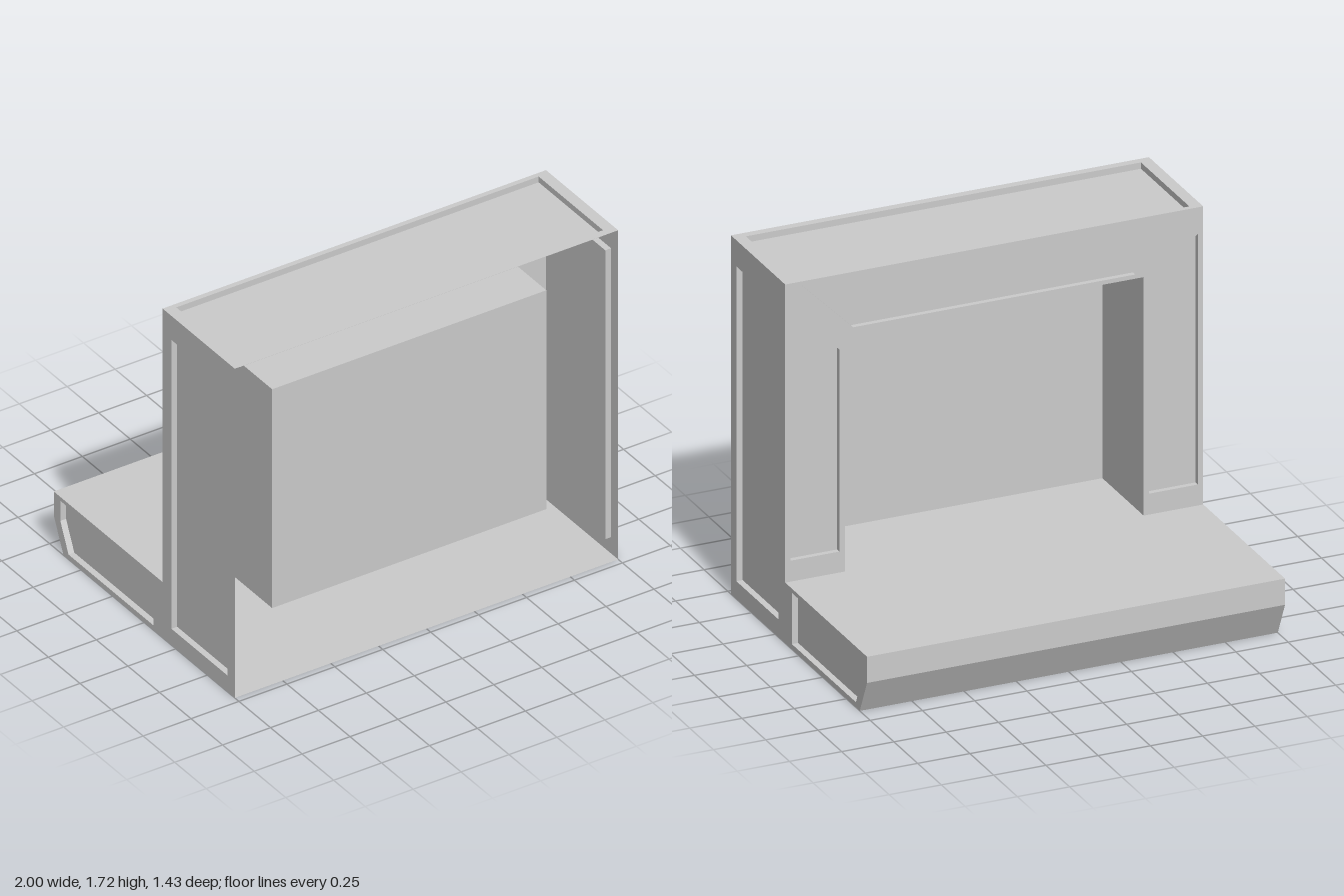
import * as THREE from 'three';

const material = new THREE.MeshStandardMaterial({ color: 0xcccccc, side: THREE.DoubleSide, flatShading: true });

// Outer dimensions
const H = 1.715, D = 0.717, FACE = 0.145, HEARTH = 0.29;

const points = (loop) => loop.map(([x, y]) => new THREE.Vector2(x, y));
const rect = (x0, y0, x1, y1) => [[x0, y0], [x1, y0], [x1, y1], [x0, y1]];
const mirror = (loop) => loop.map(([x, y]) => [-x, y]).reverse();

function add(parent, name, geometry) {
  const mesh = new THREE.Mesh(geometry, material);
  mesh.name = name;
  parent.add(mesh);
  return mesh;
}

// Flat quads, each given as four corners
function quads(list) {
  const position = list.flatMap(([a, b, c, d]) => [a, b, c, a, c, d]).flat();
  const geometry = new THREE.BufferGeometry();
  geometry.setAttribute('position', new THREE.Float32BufferAttribute(position, 3));
  geometry.computeVertexNormals();
  return geometry;
}

// Sunken pocket: walls going back from a counter-clockwise loop, and a floor
function addRecess(parent, name, loop, depth) {
  const walls = loop.map(([x, y], i) => {
    const [u, v] = loop[(i + 1) % loop.length];
    return [[x, y, 0], [u, v, 0], [u, v, -depth], [x, y, -depth]];
  });
  add(parent, name + 'Walls', quads(walls));
  add(parent, name + 'Panel', new THREE.ShapeGeometry(new THREE.Shape(points(loop)))).position.z = -depth;
}

// Flat face (facing local +z) with sunken panels cut into it
function plate(name, outline, recesses) {
  const group = new THREE.Group();
  group.name = name;
  const shape = new THREE.Shape(points(outline));
  for (const { name: part, loop, depth } of recesses) {
    shape.holes.push(new THREE.Path(points(loop)));
    addRecess(group, part, loop, depth);
  }
  add(group, name + 'Frame', new THREE.ShapeGeometry(shape));
  return group;
}

export function createModel() {
  const model = new THREE.Group();
  model.name = 'fireplace';

  // L-shaped sides, each with a tall panel and a hearth panel
  const sideOutline = [[-D, 0], [0.64, 0], [D, 0.165], [D, HEARTH], [-FACE, HEARTH], [-FACE, H], [-D, H]];
  const tallPanel = rect(-0.66, 0.085, -0.215, 1.59);
  const hearthPanel = [[-0.075, 0.025], [0.6, 0.025], [0.665, 0.165], [0.665, 0.27], [-0.075, 0.27]];
  for (const s of [1, -1]) {
    const fit = (loop) => (s > 0 ? loop : mirror(loop));
    const side = plate(s > 0 ? 'leftSide' : 'rightSide', fit(sideOutline), [
      { name: 'tall', loop: fit(tallPanel), depth: 0.03 },
      { name: 'hearthEnd', loop: fit(hearthPanel), depth: 0.03 },
    ]);
    side.rotation.y = s * Math.PI / 2;
    side.position.x = s;
    model.add(side);
  }

  // Mantel top
  const top = plate('mantelTop', rect(-1, -D, 1, -FACE), [
    { name: 'top', loop: rect(-0.945, -0.68, 0.945, -0.17), depth: 0.03 },
  ]);
  top.rotation.x = -Math.PI / 2;
  top.position.y = H;
  model.add(top);

  // Surround with mitred panels around the opening
  const W = 0.715, T = 1.43;
  const column = [[0.74, 0.39], [0.975, 0.39], [0.975, 1.59], [0.74, 1.355]];
  const lintel = [[-0.675, 1.45], [0.675, 1.45], [0.92, 1.695], [-0.92, 1.695]];
  const surround = plate('surround',
    [[-1, HEARTH], [-W, HEARTH], [-W, T], [W, T], [W, HEARTH], [1, HEARTH], [1, H], [-1, H]], [
      { name: 'columnA', loop: column, depth: 0.025 },
      { name: 'columnB', loop: mirror(column), depth: 0.025 },
      { name: 'lintel', loop: lintel, depth: 0.025 },
    ]);
  addRecess(surround, 'firebox', rect(-W, HEARTH, W, T), 0.435);
  surround.rotation.y = Math.PI;
  surround.position.z = FACE;
  model.add(surround);

  // Hearth slab skin: top, front edge, bevel and underside (y, z profile)
  const profile = [[HEARTH, FACE], [HEARTH, -D], [0.165, -D], [0, -0.64], [0, D]];
  const strips = profile.slice(1).map(([y, z], i) => {
    const [y0, z0] = profile[i];
    return [[-1, y0, z0], [1, y0, z0], [1, y, z], [-1, y, z]];
  });
  add(model, 'hearth', quads(strips));

  return model;
}
